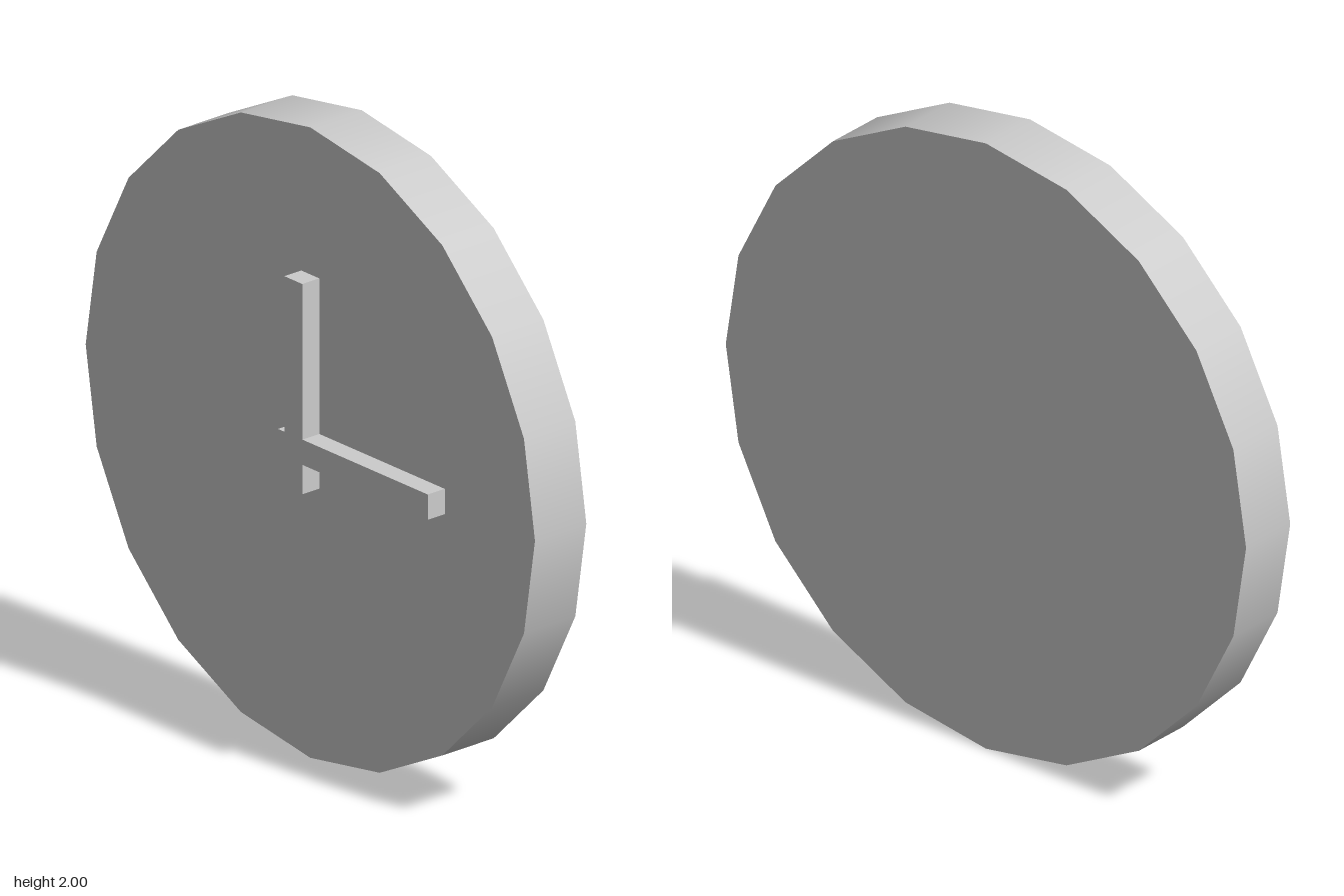
import * as THREE from 'three';

export function createModel() {
  const model = new THREE.Group();
  model.name = 'wallClock';
  const grey = new THREE.MeshStandardMaterial({ color: 0xcccccc });
  grey.name = 'light grey';

  const add = (name, geometry, x, y, z) => {
    const mesh = new THREE.Mesh(geometry, grey);
    mesh.name = name;
    mesh.position.set(x, y, z);
    model.add(mesh);
  };

  // Twenty-sided clock body with a smooth rim, standing upright
  const body = new THREE.CylinderGeometry(1, 1, 0.2, 20).rotateX(Math.PI / 2);
  add('clockBody', body, 0, 1, -0.033);

  // Raised hands, crossing at the centre and slightly sunk into the face
  const length = 0.667, width = 0.08, depth = 0.076, z = 0.095;
  add('minuteHand', new THREE.BoxGeometry(width, length, depth), 0, 1.2, z);
  add('hourHand', new THREE.BoxGeometry(length, width, depth), 0.265, 1, z);

  return model;
}
